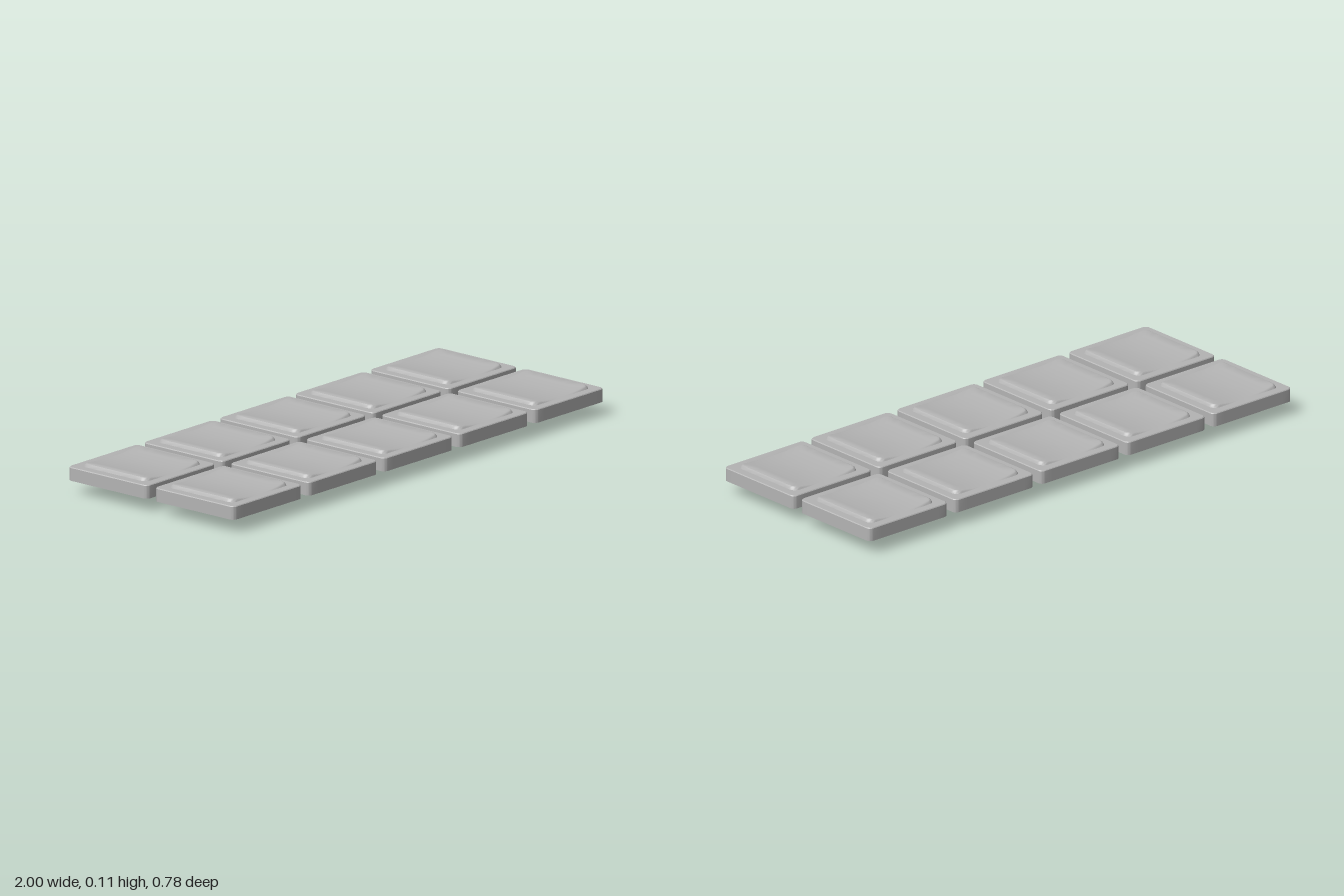
import * as THREE from 'three';
import { toCreasedNormals } from 'three/addons/utils/BufferGeometryUtils.js';

const PITCH = 0.4066, COLS = 5, ROWS = 2;
const ARC = 5, STRAIGHT = 10;

// Rounded square outline of half-width a and corner radius r, as [x, z] pairs
function outline(a, r) {
  const pts = [];
  const corner = (q, k) => {
    const t = (q + k / ARC) * Math.PI / 2, m = (q + 0.5) * Math.PI / 2;
    return [Math.sign(Math.cos(m)) * (a - r) + r * Math.cos(t),
      Math.sign(Math.sin(m)) * (a - r) + r * Math.sin(t)];
  };
  for (let q = 0; q < 4; q++) {
    for (let k = 0; k <= ARC; k++) pts.push(corner(q, k));
    const s = corner(q, ARC), e = corner(q + 1, 0);
    for (let k = 1; k < STRAIGHT; k++) {
      const f = k / STRAIGHT;
      pts.push([s[0] + (e[0] - s[0]) * f, s[1] + (e[1] - s[1]) * f]);
    }
  }
  return pts;
}

// Hollow cap skin: inside ceiling, wall, rim, outside, then the scooped pad
function capGeometry() {
  // [half-width, corner radius, y, share of the scoop height]
  const rings = [
    [0, 0, 0.086, 0], [0.158, 0.012, 0.086, 0], [0.16, 0.012, 0.05, 0],
    [0.1865, 0.018, 0.05, 0], [0.1865, 0.018, 0.097, 0], [0.184, 0.017, 0.1, 0],
    [0.153, 0.026, 0.1, 0], [0.15, 0.026, 0.1, 0.55], [0.146, 0.025, 0.1, 0.88],
    [0.14, 0.024, 0.1, 1], [0.11, 0.018, 0.1, 1], [0.08, 0.012, 0.1, 1],
    [0.04, 0.006, 0.1, 1], [0, 0, 0.1, 1],
  ];
  const pos = [], index = [];
  let n = 0;
  rings.forEach(([a, r, y, share], j) => {
    const pts = outline(a, r);
    n = pts.length;
    for (const [x, z] of pts) pos.push(x, y + share * (0.0015 + 0.0115 * Math.min(1, (x / 0.14) ** 2)), z);
    if (j === 0) return;
    for (let i = 0; i < n; i++) {
      const a0 = (j - 1) * n + i, b0 = (j - 1) * n + (i + 1) % n;
      index.push(a0, a0 + n, b0, b0, a0 + n, b0 + n);
    }
  });
  const g = new THREE.BufferGeometry();
  g.setAttribute('position', new THREE.Float32BufferAttribute(pos, 3));
  g.setIndex(index);
  return toCreasedNormals(g, Math.PI / 6);
}

export function createModel() {
  const model = new THREE.Group();
  model.name = 'keycapSet';
  const grey = new THREE.MeshStandardMaterial({ color: 0xb4b4b4 });
  grey.name = 'greyPlastic';

  const add = (parent, name, geometry, x, y, z) => {
    const mesh = new THREE.Mesh(geometry, grey);
    mesh.name = name;
    mesh.position.set(x, y, z);
    parent.add(mesh);
  };

  const cap = capGeometry();
  const prong = new THREE.BoxGeometry(0.055, 0.012, 0.012);
  const linkX = new THREE.BoxGeometry(0.074, 0.05, 0.047);
  const linkZ = new THREE.BoxGeometry(0.047, 0.05, 0.074);

  for (let c = 0; c < COLS; c++) {
    const x = (c - (COLS - 1) / 2) * PITCH;
    for (let r = 0; r < ROWS; r++) {
      const z = (r - (ROWS - 1) / 2) * PITCH;
      const key = new THREE.Group();
      key.name = 'keycap';
      key.position.set(x, 0, z);
      add(key, 'capShell', cap, 0, 0, 0);
      // Small mounting prongs under the ceiling
      for (const s of [-1, 1]) add(key, 'mountProng', prong, 0, 0.081, s * 0.016);
      model.add(key);
      // Links to the next column
      if (c < COLS - 1) add(model, 'sideLink', linkX, x + PITCH / 2, 0.025, z);
    }
    // Link between the two rows
    add(model, 'rowLink', linkZ, x, 0.025, 0);
  }
  return model;
}
